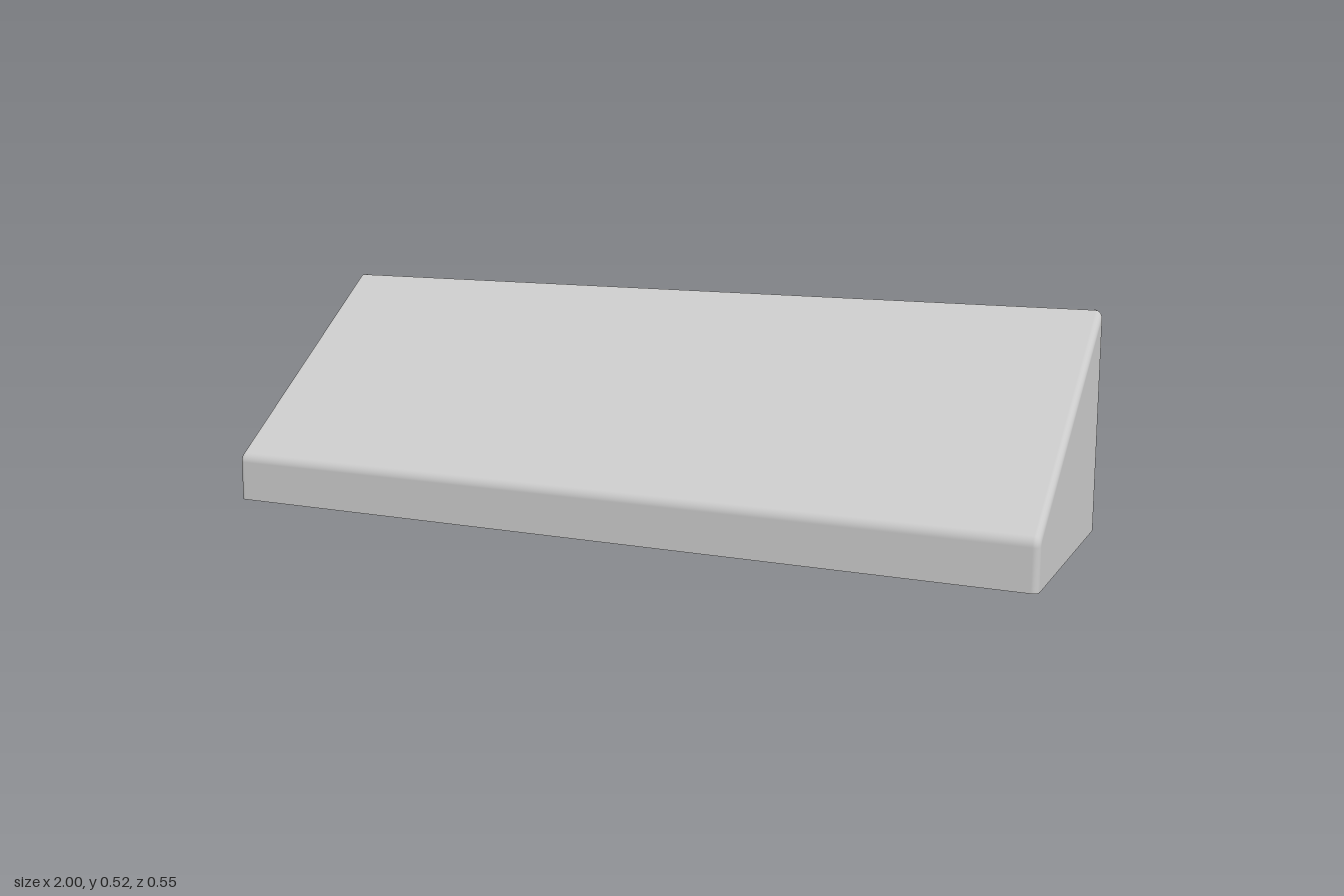
import * as THREE from 'three';

const FRONT = 0.277, BACK = -0.262;    // z limits of the canopy
const BACK_TOP = 0.518, SLOPE = 0.759; // roof height at the back, fall towards the front
const PITCH = Math.atan(SLOPE);
const EDGE = 0.015, NOSE = 0.028;      // side edge and front nose radii

const roofY = (z, inset = 0) => BACK_TOP - (z - BACK) * SLOPE - inset / Math.cos(PITCH);
const hemY = z => (FRONT - z) * 0.0223;

// Side outline [z, y]: front hem, rounded nose, back top; moved inwards by inset
function outline(inset) {
  const z0 = FRONT - inset, R = NOSE - inset;
  const cz = FRONT - NOSE, cy = roofY(cz, NOSE);
  const points = [[z0, hemY(z0)]];
  const steps = 6, sweep = Math.PI / 2 - PITCH;
  for (let i = 0; i <= steps; i++) {
    const a = sweep * i / steps;
    points.push([cz + R * Math.cos(a), cy + R * Math.sin(a)]);
  }
  points.push([BACK, roofY(BACK, inset)]);
  return points;
}

// One skin over both sides, roof and valance; open at the back and below
function canopyGeometry() {
  const half = [];
  const steps = 5;
  for (let i = 0; i <= steps; i++) {
    const a = (i / steps) * Math.PI / 2;
    half.push({ x: 1 - EDGE + EDGE * Math.sin(a), points: outline(EDGE * (1 - Math.cos(a))) });
  }
  // Side panel: the outline closes onto the lower back corner
  half.push({ x: 1, points: half[steps].points.map(() => [BACK, hemY(BACK)]) });
  const columns = [...half.map(c => ({ x: -c.x, points: c.points })).reverse(), ...half];

  const rows = columns[0].points.length;
  const positions = [], index = [];
  columns.forEach(({ x, points }, c) => {
    points.forEach(([z, y], r) => {
      positions.push(x, y, z);
      if (c < columns.length - 1 && r < rows - 1) {
        const a = c * rows + r, b = a + rows;
        index.push(a, b, b + 1, a, b + 1, a + 1);
      }
    });
  });
  const geometry = new THREE.BufferGeometry();
  geometry.setAttribute('position', new THREE.Float32BufferAttribute(positions, 3));
  geometry.setIndex(index);
  geometry.computeVertexNormals();
  return geometry;
}

export function createModel() {
  const model = new THREE.Group();
  model.name = 'awning';
  const cloth = new THREE.MeshStandardMaterial({ color: 0xcccccc, side: THREE.DoubleSide });
  const metal = new THREE.MeshStandardMaterial({ color: 0xcccccc });

  const canopy = new THREE.Mesh(canopyGeometry(), cloth);
  canopy.name = 'canopy';
  model.add(canopy);

  // Rod frame under the roof: two arms and a front bar
  const frame = new THREE.Group();
  frame.name = 'frame';
  model.add(frame);
  const radius = 0.0045, rodX = 0.982, frontZ = 0.258, tipZ = -0.273;
  const at = (x, z) => new THREE.Vector3(x, roofY(z, 0.009), z);
  const rod = (name, from, to) => {
    const span = to.clone().sub(from);
    const mesh = new THREE.Mesh(new THREE.CylinderGeometry(radius, radius, span.length(), 12), metal);
    mesh.position.copy(from).add(to).multiplyScalar(0.5);
    mesh.quaternion.setFromUnitVectors(new THREE.Vector3(0, 1, 0), span.normalize());
    mesh.name = name;
    frame.add(mesh);
  };
  rod('frontBar', at(-rodX, frontZ), at(rodX, frontZ));
  for (const [side, s] of [['left', 1], ['right', -1]]) {
    rod(side + 'Arm', at(s * rodX, frontZ), at(s * rodX, tipZ));
    const elbow = new THREE.Mesh(new THREE.SphereGeometry(radius, 12, 8), metal);
    elbow.position.copy(at(s * rodX, frontZ));
    elbow.name = side + 'Elbow';
    frame.add(elbow);
  }
  return model;
}
